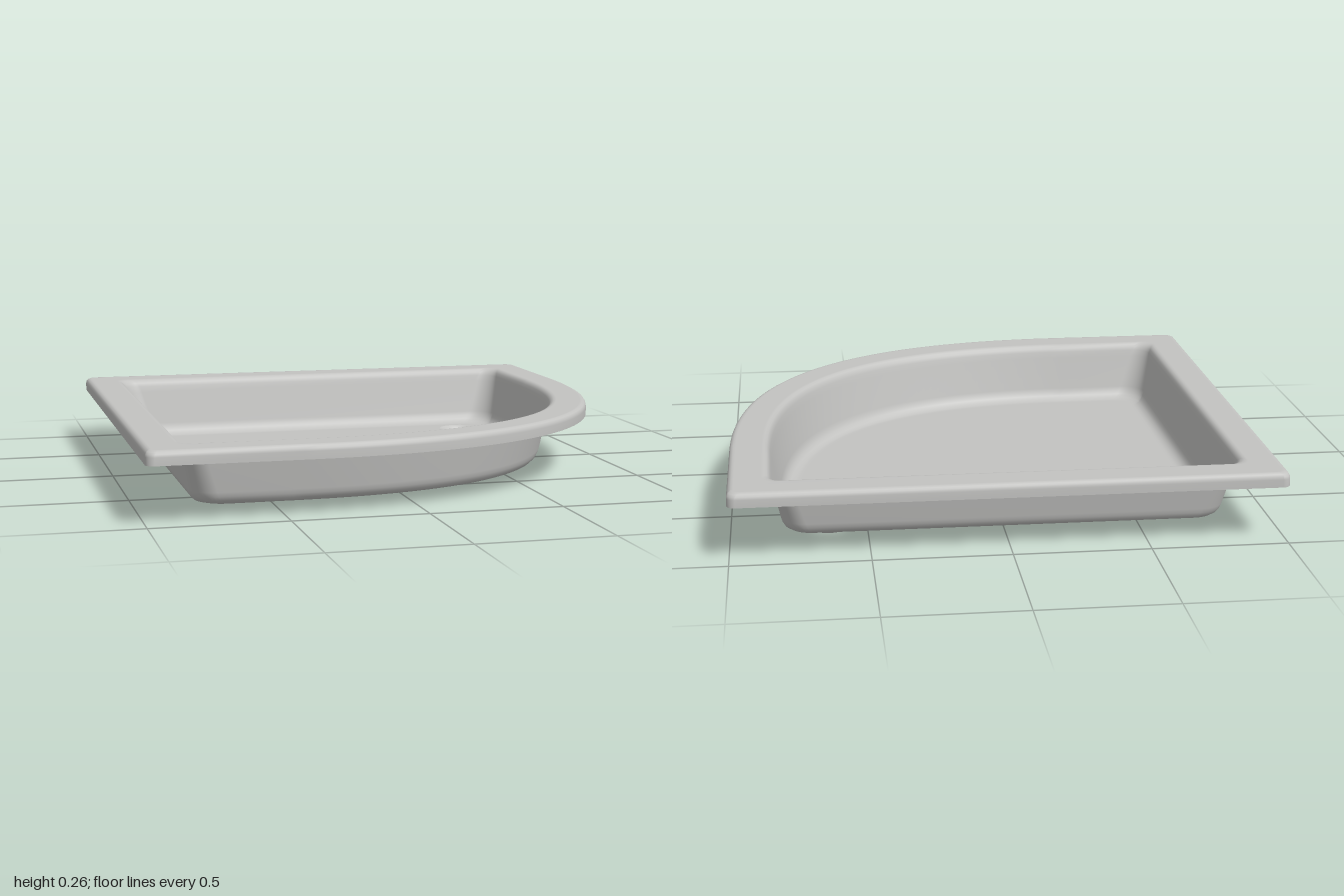
import * as THREE from 'three';

const FLOOR_Y = 0.025;
const DRAIN = { x: 0.64, z: -0.65, r: 0.095 };

// Quadrant outline as [x, z] points, moved inwards by inset, with three rounded corners.
function outline(inset, radius) {
  const pts = [];
  const bow = new THREE.CubicBezierCurve(
    new THREE.Vector2(1, -0.45), new THREE.Vector2(1, 0.496),
    new THREE.Vector2(0.496, 1), new THREE.Vector2(-0.45, 1));
  for (let i = 0; i <= 56; i++) {
    const p = bow.getPoint(i / 56), t = bow.getTangent(i / 56);
    pts.push([p.x - t.y * inset, p.y + t.x * inset]);
  }
  const c = 1 - inset - radius;
  [[-c, c, 0.5], [-c, -c, 1], [c, -c, 1.5]].forEach(([x, z, start]) => {
    for (let i = 0; i <= 10; i++) {
      const a = (start + i / 20) * Math.PI;
      pts.push([x + radius * Math.cos(a), z + radius * Math.sin(a)]);
    }
  });
  return pts;
}

// Skin a list of [inset, y, cornerRadius] rings from the outside in.
function skin(profile) {
  const pos = [], index = [];
  const n = outline(0, 0.03).length;
  profile.forEach(([inset, y, r], i) => {
    outline(inset, r).forEach(([x, z], j) => {
      pos.push(x, y, z);
      if (i === profile.length - 1) return;
      const a = i * n + j, b = i * n + (j + 1) % n;
      index.push(a, a + n, b, b, a + n, b + n);
    });
  });
  const g = new THREE.BufferGeometry();
  g.setAttribute('position', new THREE.Float32BufferAttribute(pos, 3));
  g.setIndex(index);
  g.computeVertexNormals();
  return g;
}

export function createModel() {
  const group = new THREE.Group();
  group.name = 'showerTray';
  const enamel = new THREE.MeshStandardMaterial({ color: 0xc3c3c1, side: THREE.DoubleSide });
  enamel.name = 'grey enamel';
  const add = (name, geometry) => {
    const mesh = new THREE.Mesh(geometry, enamel);
    mesh.name = name;
    group.add(mesh);
    return mesh;
  };

  // Skirt, flat rim, sloping wall and fillet down to the floor
  add('rimAndWall', skin([
    [0, 0.213, 0.03], [0, 0.242, 0.03], [0.002, 0.252, 0.03], [0.007, 0.26, 0.03],
    [0.016, 0.265, 0.03], [0.025, 0.265, 0.03],
    [0.12, 0.265, 0.05], [0.13, 0.264, 0.055], [0.14, 0.259, 0.06], [0.147, 0.249, 0.065],
    [0.152, 0.235, 0.07], [0.157, 0.21, 0.075],
    [0.185, 0.075, 0.09], [0.19, 0.058, 0.09], [0.198, 0.043, 0.09], [0.21, 0.032, 0.09],
    [0.226, 0.026, 0.09], [0.24, FLOOR_Y, 0.09], [0.255, FLOOR_Y, 0.09],
  ]));

  // Flat floor with the drain opening
  const floor = new THREE.Shape(outline(0.255, 0.09).map(([x, z]) => new THREE.Vector2(x, -z)));
  const hole = new THREE.Path();
  hole.absarc(DRAIN.x, -DRAIN.z, DRAIN.r, 0, Math.PI * 2, true);
  floor.holes.push(hole);
  add('floor', new THREE.ShapeGeometry(floor, 24).rotateX(-Math.PI / 2).translate(0, FLOOR_Y, 0));

  // Recessed drain collar around an open hole
  const collar = [[DRAIN.r, FLOOR_Y], [0.088, 0.023], [0.082, 0.017], [0.075, 0.007], [0.069, 0.002], [0.06, 0]]
    .map(([r, y]) => new THREE.Vector2(r, y));
  add('drainCollar', new THREE.LatheGeometry(collar, 48)).position.set(DRAIN.x, 0, DRAIN.z);

  return group;
}
